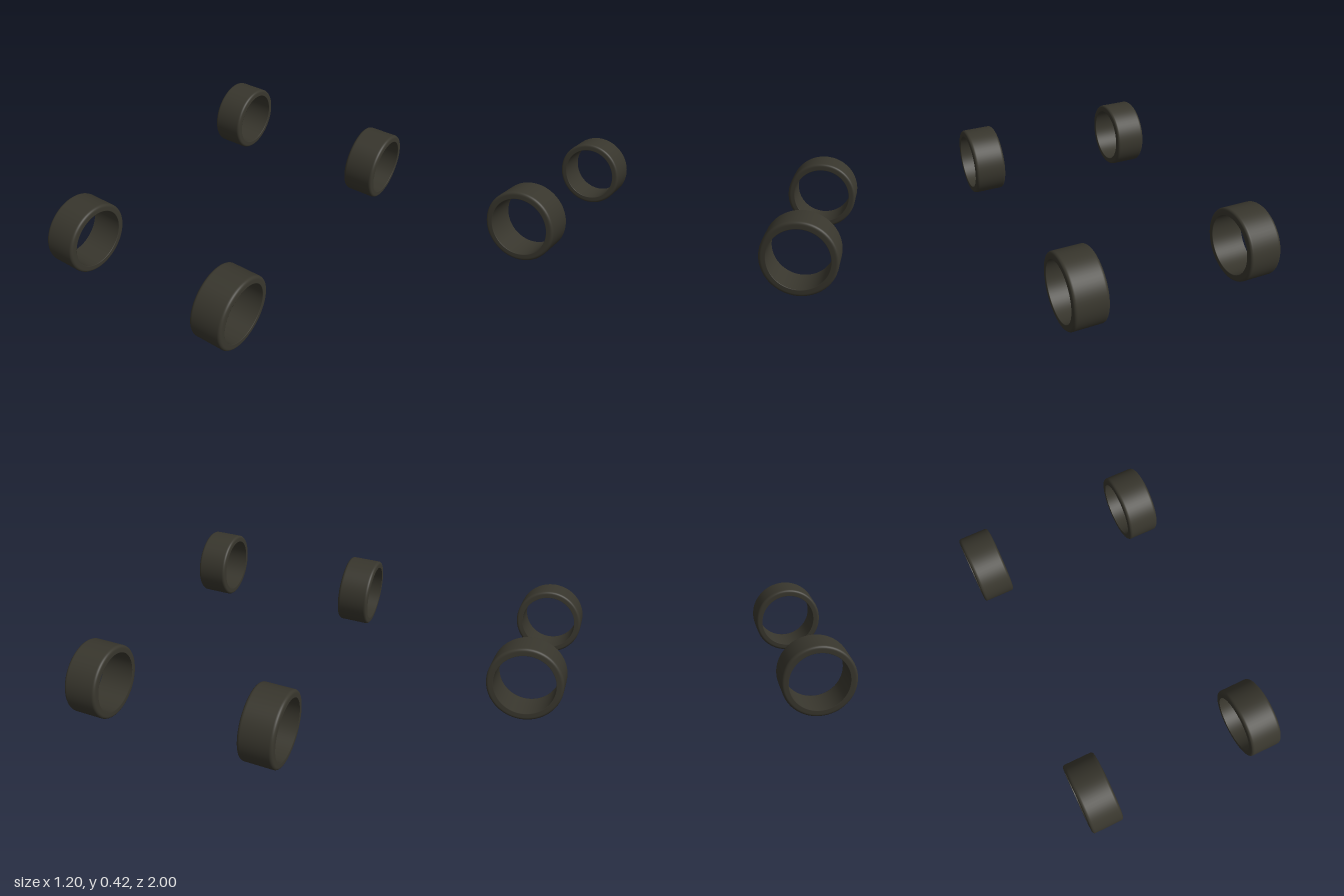
import * as THREE from 'three';

const OUTER = 0.209, INNER = 0.169, HALF = 0.096, ROUND = 0.016;

// Closed tyre cross-section: [radius, offset along the axle]
function tyreProfile() {
  const pts = [];
  const add = (r, a) => pts.push(new THREE.Vector2(r, a));
  const corner = (from, side) => {
    for (let i = 0; i <= 6; i++) {
      const t = from + (i / 6) * Math.PI / 2;
      add(OUTER - ROUND + ROUND * Math.cos(t), side * (HALF - ROUND) + ROUND * Math.sin(t));
    }
  };
  // bore edge, sidewall and rounded shoulder
  add(INNER, -HALF);
  add(INNER + 0.003, -HALF - 0.001);
  add(OUTER - ROUND - 0.002, -HALF);
  corner(-Math.PI / 2, -1);
  // tread
  add(OUTER, -HALF + ROUND + 0.002);
  add(OUTER, HALF - ROUND - 0.002);
  // other shoulder, sidewall and bore edge
  corner(0, 1);
  add(OUTER - ROUND - 0.002, HALF);
  add(INNER + 0.003, HALF + 0.001);
  add(INNER, HALF);
  // bore
  add(INNER, HALF - 0.002);
  add(INNER, -HALF + 0.002);
  add(INNER, -HALF);
  return pts;
}

export function createModel() {
  const model = new THREE.Group();
  model.name = 'tyreSet';
  const rubber = new THREE.MeshStandardMaterial({ color: 0x38362d });
  rubber.name = 'darkRubber';

  const geometry = new THREE.LatheGeometry(tyreProfile(), 64);
  geometry.rotateZ(-Math.PI / 2);

  // Four tyres, one at each corner
  for (const [end, z] of [['front', 0.791], ['rear', -0.791]]) {
    for (const [side, x] of [['Left', 0.505], ['Right', -0.505]]) {
      const tyre = new THREE.Mesh(geometry, rubber);
      tyre.name = `${end}${side}Tyre`;
      tyre.position.set(x, OUTER, z);
      model.add(tyre);
    }
  }
  return model;
}
